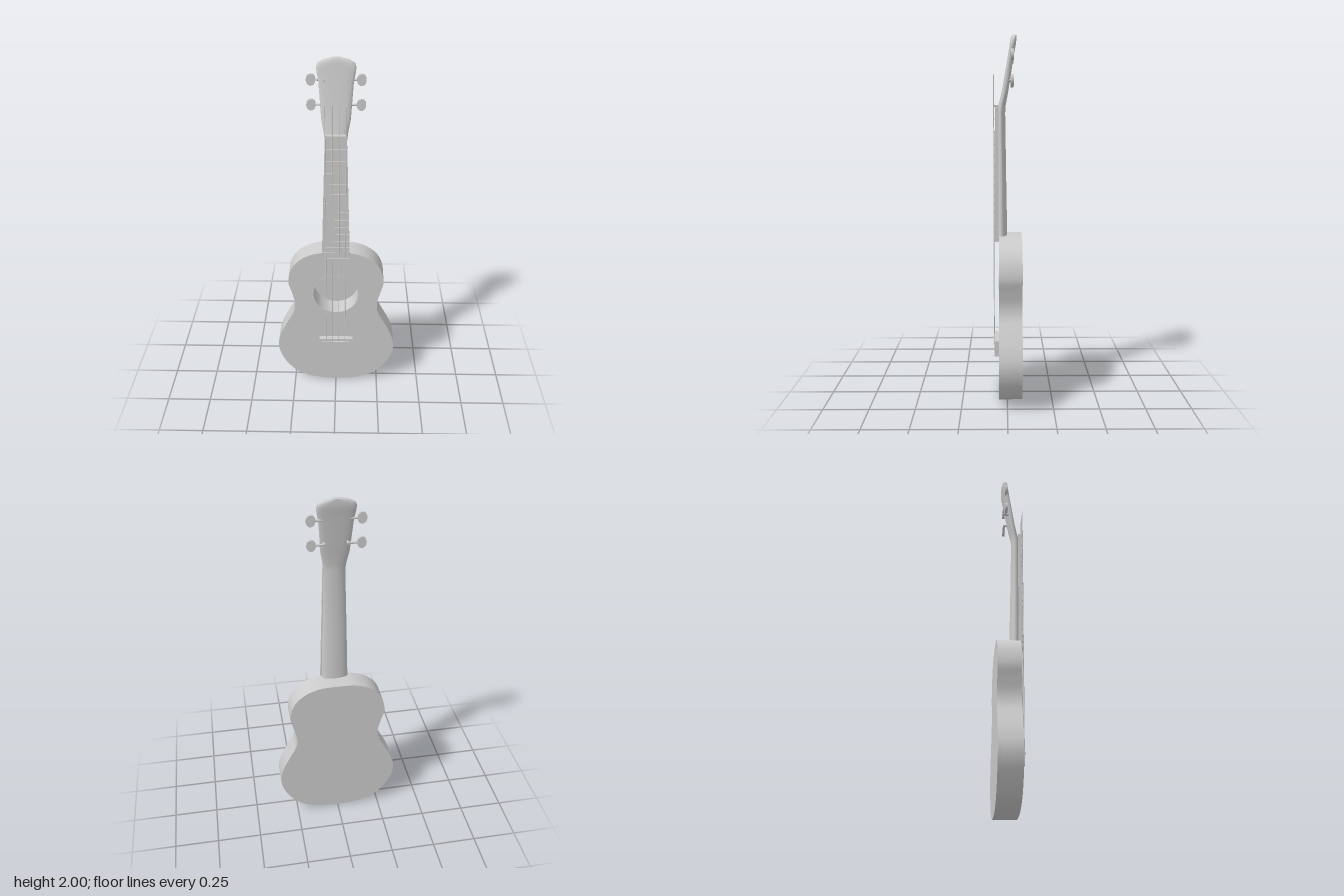
import * as THREE from 'three';
import { toCreasedNormals } from 'three/addons/utils/BufferGeometryUtils.js';

const grey = new THREE.MeshStandardMaterial({ color: 0xcccccc });
grey.name = 'plain grey';

const BODY_FRONT = 0.045, BODY_BACK = -0.08, HOLE_Y = 0.64, HOLE_R = 0.13;
const NUT_Y = 1.63, SADDLE_Y = 0.31, BOARD_END = 0.89;

function add(parent, name, geometry, x = 0, y = 0, z = 0) {
  const mesh = new THREE.Mesh(geometry, grey);
  mesh.name = name;
  mesh.position.set(x, y, z);
  parent.add(mesh);
  return mesh;
}

const box = (w, h, d) => new THREE.BoxGeometry(w, h, d);

// Figure-eight outline, mirrored from its right half
function bodyShape() {
  const half = [[0, 0], [0.13, 0.012], [0.24, 0.06], [0.318, 0.16], [0.345, 0.26], [0.326, 0.35],
    [0.282, 0.44], [0.246, 0.51], [0.238, 0.57], [0.255, 0.65], [0.272, 0.72], [0.252, 0.81],
    [0.2, 0.872], [0.115, 0.912], [0, 0.92]];
  const left = half.slice(1, -1).reverse().map(([x, y]) => [-x, y]);
  const points = [...half, ...left].map(([x, y]) => new THREE.Vector3(x, y, 0));
  const curve = new THREE.CatmullRomCurve3(points, true);
  return new THREE.Shape(curve.getPoints(112).slice(0, -1).map(p => new THREE.Vector2(p.x, p.y)));
}

function slab(shape, depth) {
  const geometry = new THREE.ExtrudeGeometry(shape, { depth, bevelEnabled: false, curveSegments: 24 });
  return toCreasedNormals(geometry, 0.5);
}

// Rows: [y, half width, centre z, front depth, back depth, squareness]
function loft(rows, sides = 32) {
  const positions = [], index = [];
  const first = rows[0], last = rows[rows.length - 1];
  const closed = [[first[0], 0, first[2], 0, 0, 2], ...rows, [last[0], 0, last[2], 0, 0, 2]];
  const power = (v, n) => Math.sign(v) * Math.abs(v) ** (2 / n);
  closed.forEach(([y, w, z, front, back, n], r) => {
    for (let i = 0; i < sides; i++) {
      const a = (i / sides) * Math.PI * 2, s = Math.sin(a);
      positions.push(w * power(Math.cos(a), n), y, z + (s > 0 ? front : back) * power(s, n));
      if (r === closed.length - 1) continue;
      const p = r * sides + i, q = r * sides + (i + 1) % sides;
      index.push(p, p + sides, q, q, p + sides, q + sides);
    }
  });
  const geometry = new THREE.BufferGeometry();
  geometry.setAttribute('position', new THREE.Float32BufferAttribute(positions, 3));
  geometry.setIndex(index);
  return toCreasedNormals(geometry, 0.6);
}

const boardHalfWidth = y => THREE.MathUtils.mapLinear(y, BOARD_END, NUT_Y, 0.078, 0.056);

export function createModel() {
  const model = new THREE.Group();
  model.name = 'ukulele';

  // Body: a thick front with a blind sound hole, closed by the back plate
  const body = new THREE.Group();
  body.name = 'body';
  model.add(body);
  const backThickness = 0.015;
  const front = bodyShape();
  front.holes.push(new THREE.Path().absarc(0, HOLE_Y, HOLE_R, 0, Math.PI * 2, true));
  add(body, 'bodyFront', slab(front, BODY_FRONT - BODY_BACK - backThickness), 0, 0, BODY_BACK + backThickness);
  add(body, 'bodyBack', slab(bodyShape(), backThickness), 0, 0, BODY_BACK);

  // Thin ring around the sound hole
  const ring = new THREE.Shape().absarc(0, 0, HOLE_R + 0.003, 0, Math.PI * 2, false);
  ring.holes.push(new THREE.Path().absarc(0, 0, HOLE_R - 0.001, 0, Math.PI * 2, true));
  add(body, 'soundHoleRing', slab(ring, 0.002), 0, HOLE_Y, BODY_FRONT);

  // Neck and tilted headstock in one sweep
  add(model, 'neckAndHeadstock', loft([
    [0.9, 0.074, 0.03, 0.028, 0.03, 2],
    [1.25, 0.066, 0.032, 0.026, 0.026, 2],
    [1.59, 0.057, 0.034, 0.024, 0.023, 2],
    [1.63, 0.062, 0.028, 0.02, 0.02, 2.2],
    [1.7, 0.075, 0.013, 0.018, 0.018, 2.6],
    [1.8, 0.082, -0.004, 0.017, 0.017, 3],
    [1.88, 0.088, -0.017, 0.016, 0.016, 3],
    [1.93, 0.097, -0.025, 0.016, 0.017, 3],
    [1.955, 0.1, -0.029, 0.016, 0.018, 3],
    [1.975, 0.092, -0.032, 0.016, 0.017, 2.8],
    [1.99, 0.065, -0.034, 0.015, 0.015, 2.4],
    [2.0, 0.024, -0.036, 0.013, 0.013, 2],
  ]));

  // Tapered fingerboard
  const a = boardHalfWidth(BOARD_END), b = boardHalfWidth(NUT_Y);
  const board = new THREE.Shape([[-a, BOARD_END], [a, BOARD_END], [b, NUT_Y], [-b, NUT_Y]]
    .map(([x, y]) => new THREE.Vector2(x, y)));
  add(model, 'fingerboard', slab(board, 0.02), 0, 0, 0.047);

  // Frets at equal-tempered distances, plus the nut
  for (let k = 1; k <= 14; k++) {
    const y = SADDLE_Y + (NUT_Y - SADDLE_Y) * 2 ** (-k / 12);
    add(model, 'fret', box(boardHalfWidth(y) * 2, 0.005, 0.004), 0, y, 0.068);
  }
  add(model, 'nut', box(b * 2, 0.008, 0.006), 0, NUT_Y - 0.004, 0.068);

  // Bridge and saddle
  add(model, 'bridge', box(0.196, 0.086, 0.027), 0, 0.287, 0.0585);
  add(model, 'saddle', box(0.158, 0.007, 0.008), 0, SADDLE_Y, 0.074);

  // Four parallel strings
  for (const x of [-0.055, -0.019, 0.017, 0.053]) {
    add(model, 'string', new THREE.CylinderGeometry(0.002, 0.002, 1.48, 8), x, 1.05, 0.0735);
  }

  // Tuning pegs: post, shaft and flattened button on each side
  for (const side of [-1, 1]) {
    for (const y of [1.76, 1.89]) {
      const peg = new THREE.Group();
      peg.name = 'tuningPeg';
      peg.position.set(0, y, -0.027);
      model.add(peg);
      const shaft = add(peg, 'pegShaft', new THREE.CylinderGeometry(0.006, 0.006, 0.06, 12), side * 0.085);
      shaft.rotation.z = Math.PI / 2;
      const post = add(peg, 'pegPost', new THREE.CylinderGeometry(0.007, 0.007, 0.028, 12), side * 0.06, 0, 0.01);
      post.rotation.x = Math.PI / 2;
      const button = add(peg, 'pegButton', new THREE.CylinderGeometry(1, 1, 0.015, 20), side * 0.127);
      button.rotation.x = Math.PI / 2;
      button.scale.set(0.024, 1, 0.03);
    }
  }
  return model;
}
